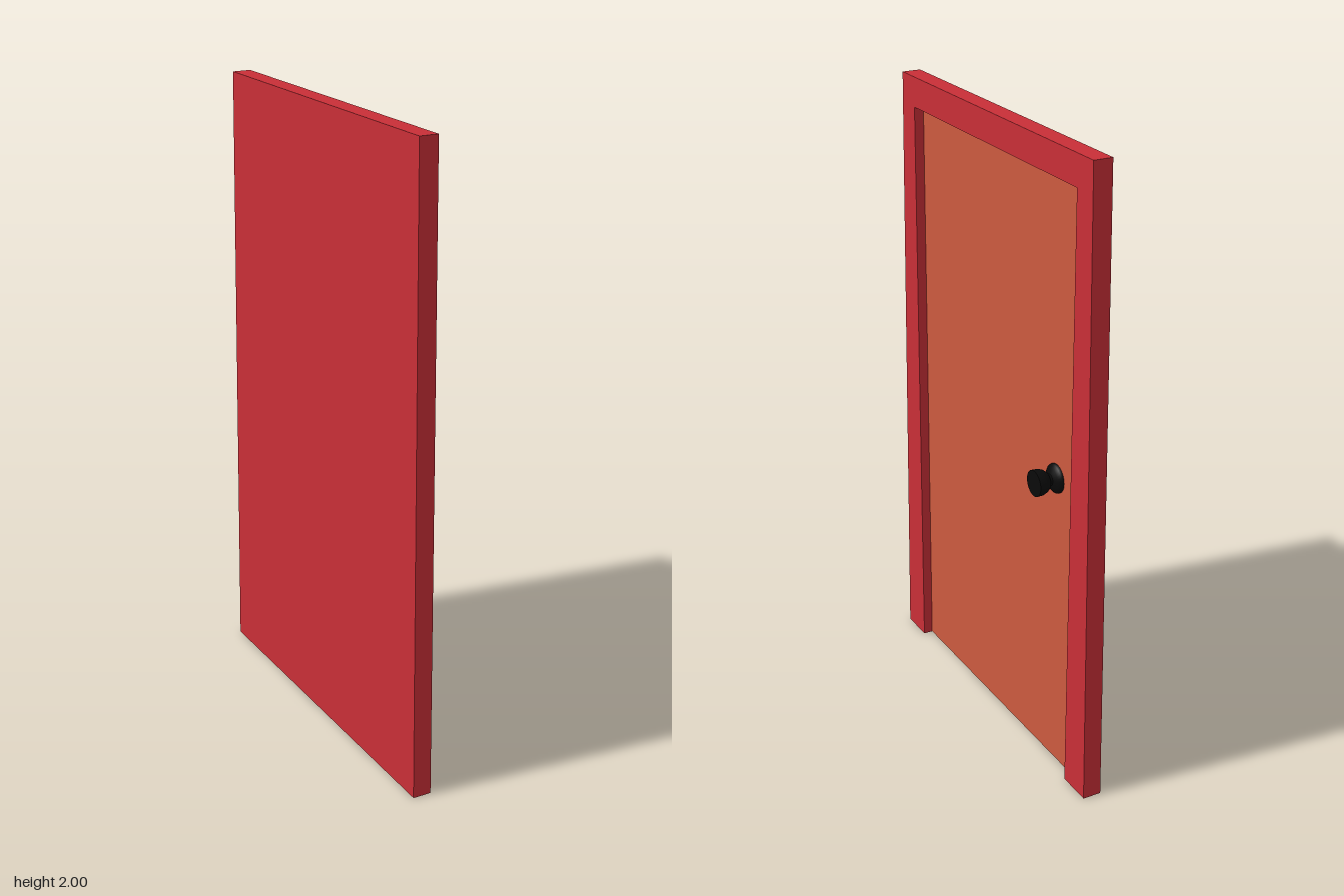
import * as THREE from 'three';

const BACK = -0.055, FRONT = 0.005, RECESS = -0.026;
const HEIGHT = 2, BOTTOM = 0.605, TOP = 0.57; // half widths of the tapered outline
const OPEN_W = 0.49, OPEN_H = 1.905;

const red = new THREE.MeshStandardMaterial({ color: 0xc92f37 });
const orange = new THREE.MeshStandardMaterial({ color: 0xcd5a3f });
const black = new THREE.MeshStandardMaterial({ color: 0x0a0a0a });

// Extrudes an outline (drawn as seen from +x) between two x positions
function slab(name, points, x0, x1, material) {
  const shape = new THREE.Shape(points.map(([u, v]) => new THREE.Vector2(u, v)));
  const geometry = new THREE.ExtrudeGeometry(shape, { depth: x1 - x0, bevelEnabled: false });
  geometry.rotateY(Math.PI / 2).translate(x0, 0, 0);
  const mesh = new THREE.Mesh(geometry, material);
  mesh.name = name;
  return mesh;
}

// Turns a [radius, distance from door] profile about the x axis
function turned(name, profile) {
  const points = profile.map(([r, d]) => new THREE.Vector2(r, d));
  const geometry = new THREE.LatheGeometry(points, 32).rotateZ(-Math.PI / 2);
  const mesh = new THREE.Mesh(geometry, black);
  mesh.name = name;
  return mesh;
}

export function createModel() {
  const model = new THREE.Group();
  model.name = 'door';

  // Solid tapered back
  model.add(slab('backPlate', [[-BOTTOM, 0], [BOTTOM, 0], [TOP, HEIGHT], [-TOP, HEIGHT]],
    BACK, RECESS - 0.004, red));

  // Surround, open at the foot
  model.add(slab('frame', [
    [-BOTTOM, 0], [-OPEN_W, 0], [-OPEN_W, OPEN_H], [OPEN_W, OPEN_H],
    [OPEN_W, 0], [BOTTOM, 0], [TOP, HEIGHT], [-TOP, HEIGHT],
  ], RECESS - 0.004, FRONT, red));

  // Recessed door leaf
  model.add(slab('doorPanel', [[-OPEN_W, 0], [OPEN_W, 0], [OPEN_W, OPEN_H], [-OPEN_W, OPEN_H]],
    RECESS - 0.004, RECESS, orange));

  // Flared rose, neck and flat-faced knob
  const knob = new THREE.Group();
  knob.name = 'doorKnob';
  knob.position.set(RECESS, 0.98, -0.357);
  knob.add(
    turned('rose', [[0.046, 0], [0.045, 0.008], [0.036, 0.016], [0.018, 0.022]]),
    turned('neck', [[0.018, 0.02], [0.018, 0.032]]),
    turned('grip', [[0.018, 0.03], [0.028, 0.034], [0.036, 0.045], [0.04, 0.057], [0.041, 0.076]]),
    turned('gripFace', [[0.041, 0.076], [0, 0.076]]),
  );
  model.add(knob);
  return model;
}
